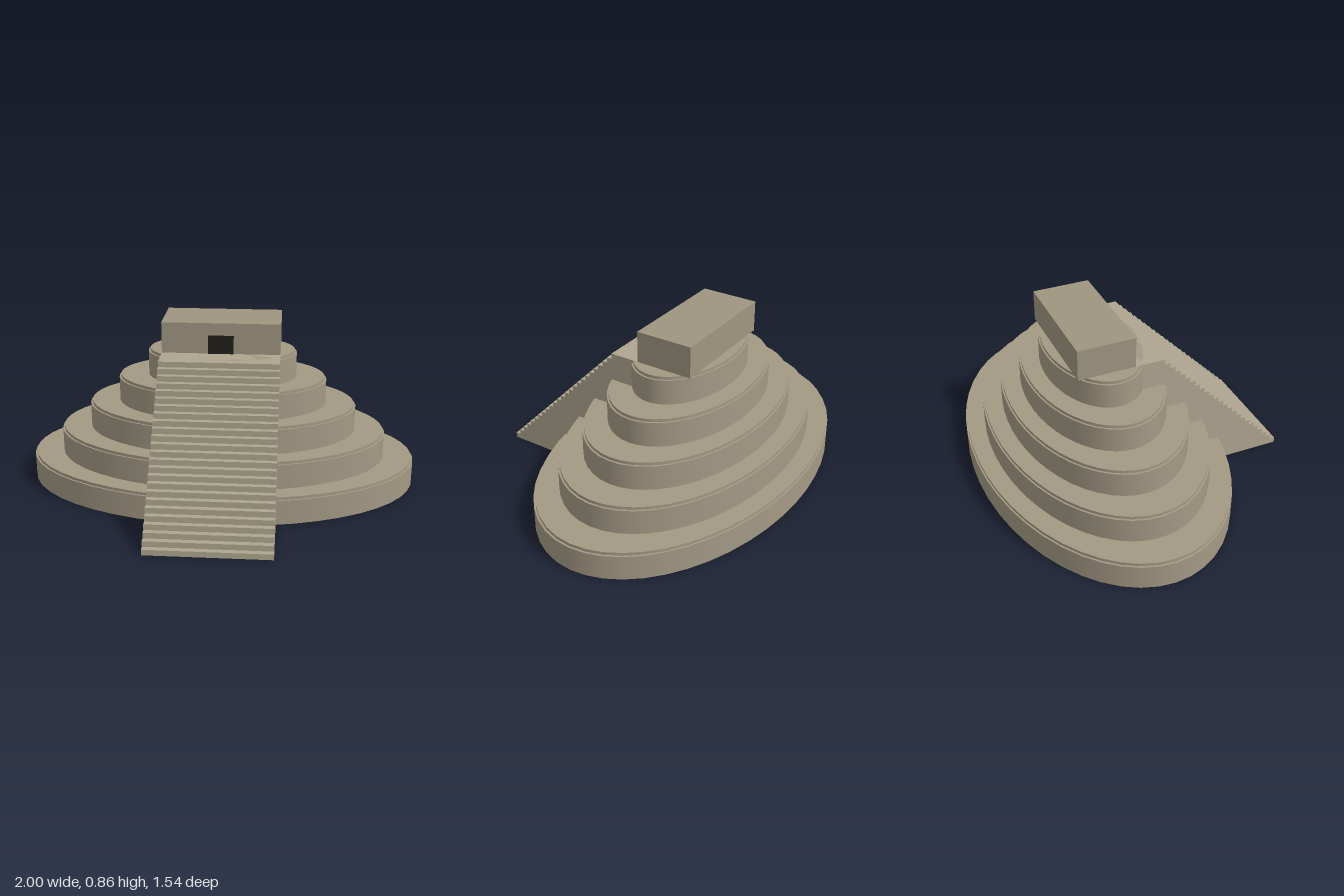
import * as THREE from 'three';

const CENTRE_Z = -0.155, TIER_H = 0.14, TIERS = 5;
const STEPS = 25, STAIR_W = 0.596, STAIR_FRONT = 0.77, TREAD = 0.0276;

export function createModel() {
  const group = new THREE.Group();
  const stone = new THREE.MeshStandardMaterial({ color: 0xa39984 });
  const stairStone = new THREE.MeshStandardMaterial({ color: 0xaea58f });
  const templeStone = new THREE.MeshStandardMaterial({ color: 0x9f9580 });
  const dark = new THREE.MeshStandardMaterial({ color: 0x221f1c });

  const add = (name, geometry, material, x, y, z) => {
    const mesh = new THREE.Mesh(geometry, material);
    mesh.name = name;
    mesh.position.set(x, y, z);
    group.add(mesh);
    return mesh;
  };

  // Elliptical drum standing on height y
  const drum = (name, rx, rz, y, h) => {
    const geometry = new THREE.CylinderGeometry(1, 1, h, 48).scale(rx, 1, rz);
    add(name, geometry, stone, 0, y + h / 2, CENTRE_Z);
  };

  // Stacked tiers, each with a slightly recessed rim on top
  const rimH = 0.015;
  for (let i = 0; i < TIERS; i++) {
    const rx = 1 - 0.155 * i, rz = 0.615 - 0.095 * i, y = i * TIER_H;
    drum(`tier${i + 1}`, rx, rz, y, TIER_H - rimH);
    drum(`tierRim${i + 1}`, rx - 0.01, rz - 0.008, y + TIER_H - rimH, rimH);
  }

  // Stairway: stepped side profile in (z, y), extruded across x
  const top = TIERS * TIER_H, rise = top / STEPS, back = -0.045;
  const profile = new THREE.Shape();
  profile.moveTo(back, 0);
  profile.lineTo(STAIR_FRONT, 0);
  for (let i = 0; i < STEPS; i++) {
    const z = STAIR_FRONT - i * TREAD;
    profile.lineTo(z, (i + 1) * rise);
    profile.lineTo(i < STEPS - 1 ? z - TREAD : back, (i + 1) * rise);
  }
  profile.closePath();
  const stairs = new THREE.ExtrudeGeometry(profile, { depth: STAIR_W, bevelEnabled: false });
  stairs.translate(0, 0, -STAIR_W / 2).rotateY(-Math.PI / 2);
  add('stairway', stairs, stairStone, 0, 0, 0);

  // Temple block and its doorway
  add('temple', new THREE.BoxGeometry(STAIR_W, 0.157, 0.29), templeStone, 0, top + 0.0785, -0.19);
  add('doorway', new THREE.BoxGeometry(0.128, 0.094, 0.012), dark, 0, top + 0.047, -0.046);

  return group;
}
